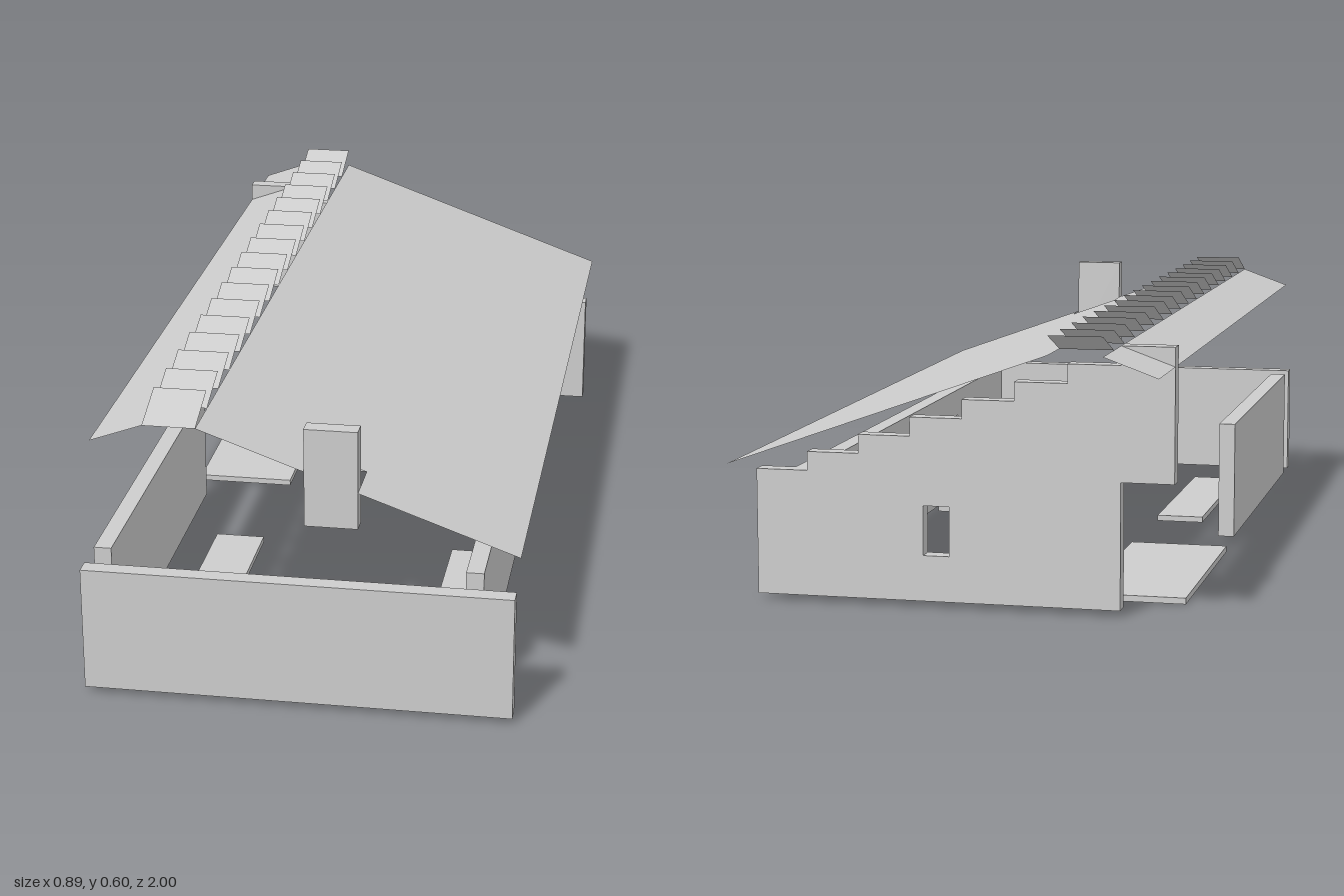
import * as THREE from 'three';

const U = 1 / 9;          // one grid module
const FLOOR = 0.0133;     // slab thickness
const WALL_TOP = 0.28;
const T = U / 3;          // wall thickness
const STEP = 0.04;        // roof rise per module

export function createModel() {
  const model = new THREE.Group();
  const grey = new THREE.MeshStandardMaterial({ color: 0xcccccc });
  grey.name = 'plain grey';
  const sheetGrey = grey;
  sheetGrey.side = THREE.DoubleSide;

  const add = (name, geometry, parent = model) => {
    const mesh = new THREE.Mesh(geometry, grey);
    mesh.name = name;
    parent.add(mesh);
    return mesh;
  };

  // Box given by its minimum and maximum corners
  const box = (name, x0, x1, y0, y1, z0, z1) => {
    const g = new THREE.BoxGeometry(x1 - x0, y1 - y0, z1 - z0);
    g.translate((x0 + x1) / 2, (y0 + y1) / 2, (z0 + z1) / 2);
    return add(name, g);
  };

  const outline = (points) => new THREE.Shape(points.map(([x, y]) => new THREE.Vector2(x, y)));

  // Window opening centred on a horizontal position
  const windowHole = (c) => {
    const w = U / 4;
    return new THREE.Path([
      new THREE.Vector2(c - w, 0.11), new THREE.Vector2(c - w, 0.215),
      new THREE.Vector2(c + w, 0.215), new THREE.Vector2(c + w, 0.11),
    ]);
  };

  const extrude = (shape) => new THREE.ExtrudeGeometry(shape, { depth: T, bevelEnabled: false });

  // Thin sheet drawn in plan (x, z), lifted by a height rule
  const sheet = (name, plan, height, parent) => {
    const g = new THREE.ShapeGeometry(outline(plan.map(([x, z]) => [x, -z])));
    g.rotateX(-Math.PI / 2);
    const p = g.attributes.position;
    for (let i = 0; i < p.count; i++) p.setY(i, height(p.getX(i), p.getZ(i)));
    g.computeVertexNormals();
    return add(name, g, parent);
  };

  // Floor slabs
  [[-3, -2, 2, 7], [2, 3, 2, 7], [-1, 1, -5, -2], [-4, -2, -6, -1]].forEach(([x0, x1, z0, z1], i) =>
    box(`floorSlab${i + 1}`, x0 * U, x1 * U, 0, FLOOR, z0 * U, z1 * U));

  // Plain walls
  box('frontWall', -4 * U, 4 * U, FLOOR, WALL_TOP, 1 - T, 1);
  box('rightHandWall', -4 * U, -4 * U + T, FLOOR, WALL_TOP, 0, 8 * U);

  // Long wall with two windows
  const side = outline([[-7 * U, FLOOR], [8 * U, FLOOR], [8 * U, WALL_TOP], [-7 * U, WALL_TOP]]);
  side.holes.push(windowHole(3.5 * U), windowHole(-3.5 * U));
  const sideGeometry = extrude(side);
  sideGeometry.rotateY(-Math.PI / 2);
  sideGeometry.translate(3 * U + T, 0, 0);
  add('windowedSideWall', sideGeometry);

  // Back wall: stepped gable, one window, doorway at the far corner
  const profile = [[-4 * U, WALL_TOP], [-3 * U, WALL_TOP], [-3 * U, FLOOR], [4 * U, FLOOR]];
  for (let i = 0; i < 8; i++) {
    const y = WALL_TOP + i * STEP;
    profile.push([(4 - i) * U, y], [(3 - i) * U, y]);
  }
  const back = outline(profile);
  back.holes.push(windowHole(0.5 * U));
  const backGeometry = extrude(back);
  backGeometry.translate(0, 0, -7 * U - T);
  add('steppedBackWall', backGeometry);

  // Main roof slope, notched behind the chimney
  const ridge = 0.56;
  sheet('mainRoof',
    [[-2, -9], [4, -9], [4, 8], [1, 8], [1, 7], [0, 7], [0, 8], [-2, 8]].map(([x, z]) => [x * U, z * U]),
    (x) => ridge - (x / U + 2) * STEP);

  // Narrow roof slope on the other side
  sheet('narrowRoof',
    [[-4, -9], [-3, -9], [-3, 8], [-4, 8]].map(([x, z]) => [x * U, z * U]),
    (x) => ridge + (x / U + 3) * STEP);

  // Ridge louvres, each lifted at its rear edge
  const louvres = new THREE.Group();
  louvres.name = 'ridgeLouvres';
  model.add(louvres);
  for (let k = -9; k < 8; k++) {
    sheet('louvre',
      [[-3, k], [-2, k], [-2, k + 1], [-3, k + 1]].map(([x, z]) => [x * U, z * U]),
      (x, z) => ridge + (k + 1 - z / U) * STEP, louvres);
  }

  // Chimney panel
  box('chimney', 0, U, 0.36, 0.573, 8 * U - T, 8 * U);

  return model;
}
